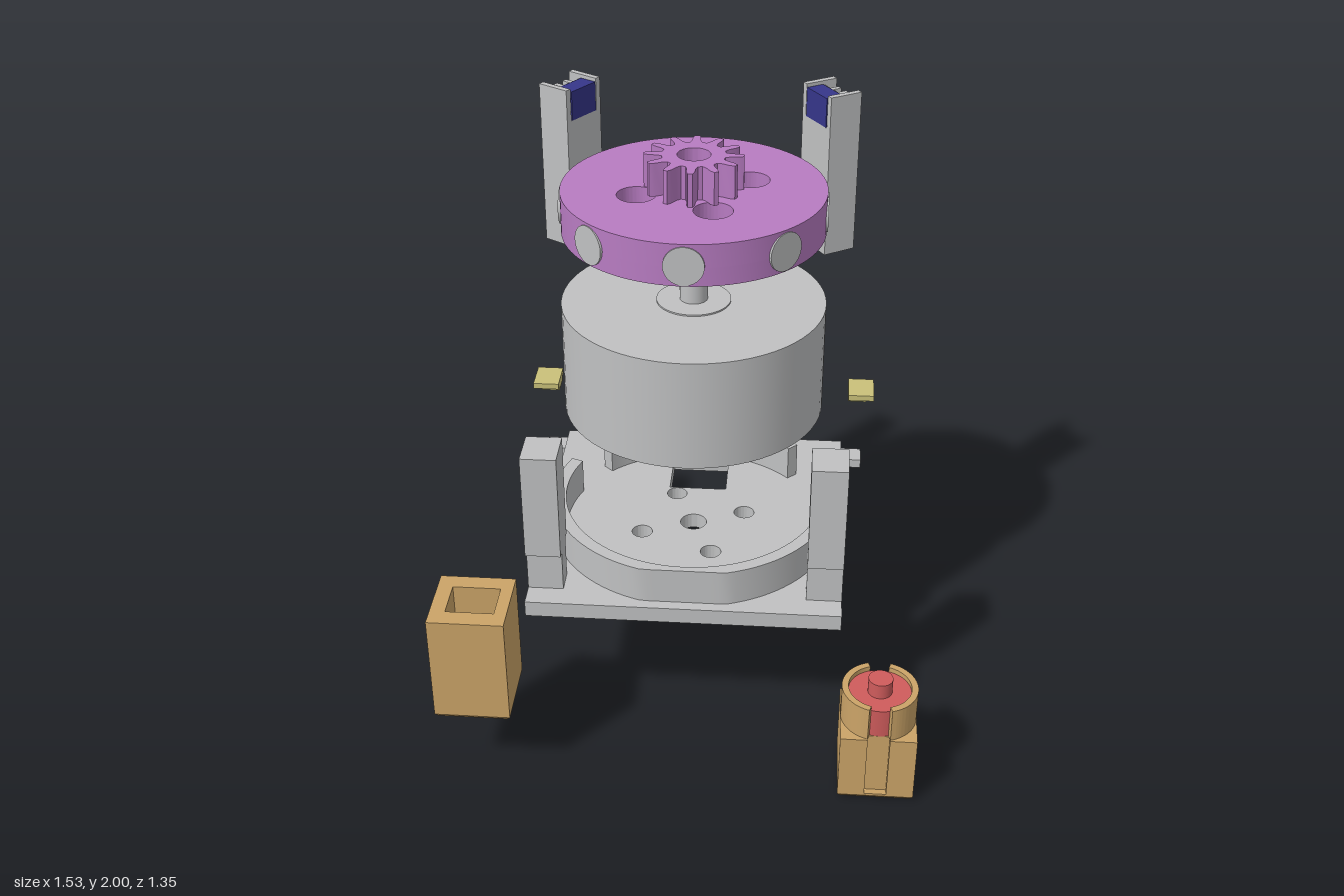
import * as THREE from 'three';
import { toCreasedNormals } from 'three/addons/utils/BufferGeometryUtils.js';

const material = (name, color) => {
  const m = new THREE.MeshStandardMaterial({ color });
  m.name = name;
  return m;
};

export function createModel() {
  const grey = material('grey', 0xc0c1c2);
  const purple = material('purple', 0xb87cc2);
  const navy = material('navy', 0x36368a);
  const orange = material('orange', 0xcba468);
  const red = material('red', 0xcf5c5c);
  const yellow = material('yellow', 0xcac17a);
  const model = new THREE.Group();
  const CZ = -0.11; // z of the rotor axis

  const add = (name, geo, mat, parent = model) => {
    const mesh = new THREE.Mesh(geo, mat);
    mesh.name = name;
    parent.add(mesh);
    return mesh;
  };
  // box given by its limits
  const box = (name, mat, x0, x1, y0, y1, z0, z1, parent) => {
    const mesh = add(name, new THREE.BoxGeometry(Math.abs(x1 - x0), y1 - y0, z1 - z0), mat, parent);
    mesh.position.set((x0 + x1) / 2, (y0 + y1) / 2, (z0 + z1) / 2);
    return mesh;
  };
  // horizontal slab from a plan shape, where shape y = -z
  const slab = (name, mat, shape, y0, y1, parent) => {
    let geo = new THREE.ExtrudeGeometry(shape, { depth: y1 - y0, bevelEnabled: false, curveSegments: 48 });
    geo.rotateX(-Math.PI / 2).translate(0, y0, 0);
    return add(name, toCreasedNormals(geo, 0.5), mat, parent);
  };
  const cylinder = (name, mat, r, y0, y1, x, z, parent) => {
    const mesh = add(name, new THREE.CylinderGeometry(r, r, y1 - y0, 64), mat, parent);
    mesh.position.set(x, (y0 + y1) / 2, z);
    return mesh;
  };
  const poly = (pts) => new THREE.Shape(pts.map(([x, y]) => new THREE.Vector2(x, y)));
  const rect = (x0, x1, y0, y1) => poly([[x0, y0], [x1, y0], [x1, y1], [x0, y1]]);
  const circle = (x, y, r) => new THREE.Shape().absarc(x, y, r, 0, Math.PI * 2);
  const screwHoles = (cy, r) => [0, 1, 2, 3].map((i) => {
    const a = 1.96 + i * Math.PI / 2;
    return circle(0.186 * Math.cos(a), cy + 0.186 * Math.sin(a), r);
  });
  // arc-shaped wall, optionally trimmed by flats in front and behind
  const arcWall = (a0, a1, rIn, rOut, flat, cy) => {
    const pts = [], n = 64;
    for (let i = 0; i <= n; i++) {
      const a = a0 + (a1 - a0) * i / n;
      const r = Math.min(rOut, flat / Math.max(Math.abs(Math.sin(a)), 1e-4));
      pts.push([r * Math.cos(a), cy + r * Math.sin(a)]);
    }
    for (let i = n; i >= 0; i--) {
      const a = a0 + (a1 - a0) * i / n;
      pts.push([rIn * Math.cos(a), cy + rIn * Math.sin(a)]);
    }
    return poly(pts);
  };

  // base plate with screw holes and cable window
  const base = new THREE.Group();
  base.name = 'base';
  model.add(base);
  const plate = rect(-0.513, 0.513, -0.387, 0.677);
  plate.holes.push(circle(0, -CZ, 0.045), ...screwHoles(-CZ, 0.035), rect(-0.1, 0.1, 0.32, 0.52));
  slab('basePlate', grey, plate, 0.455, 0.51, base);

  // motor cup wall, open where the sensors look in
  const gapAngle = 0.57, half = 0.185;
  slab('cupWallBack', grey, arcWall(gapAngle + half, Math.PI - gapAngle - half, 0.437, 0.48, 0.46, -CZ), 0.51, 0.635, base);
  slab('cupWallFront', grey, arcWall(Math.PI - gapAngle + half, Math.PI * 2 + gapAngle - half, 0.437, 0.48, 0.46, -CZ), 0.51, 0.635, base);

  for (const s of [-1, 1]) {
    // front posts, side blocks, hinge tabs and their caps
    box('postFoot', grey, s * 0.397, s * 0.513, 0.51, 0.66, 0.222, 0.307, base);
    box('post', grey, s * 0.397, s * 0.513, 0.655, 1.025, 0.197, 0.332, base);
    box('sideBlock', grey, s * 0.443, s * 0.514, 0.49, 0.635, -0.225, 0.003, base);
    box('sideTab', grey, s * 0.513, s * 0.585, 0.46, 0.493, -0.655, -0.577, base);
    box('tabCap', yellow, s * 0.527, s * 0.619, 0.76, 0.781, -0.677, -0.555);
    box('tabCapPlug', yellow, s * 0.527, s * 0.592, 0.744, 0.761, -0.656, -0.577);

    // sensor holders with grooved outer faces; local +z points away from the axis
    const sensor = new THREE.Group();
    sensor.name = 'sensor';
    sensor.position.set(s * 0.416, 0, -0.383);
    sensor.rotation.y = s * (Math.PI / 2 + gapAngle);
    model.add(sensor);
    box('holderFoot', grey, -0.082, 0.082, 1.465, 1.505, -0.056, 0.056, sensor);
    box('holderFace', grey, -0.07, 0.07, 1.505, 1.895, -0.056, 0.01, sensor);
    box('holderSpine', grey, -0.07, 0.07, 1.895, 1.985, 0.002, 0.012, sensor);
    for (const t of [-1, 1]) {
      box('holderSide', grey, t * 0.062, t * 0.082, 1.505, 2, -0.056, 0.056, sensor);
      box('holderRib', grey, t * 0.013, t * 0.03, 1.505, 1.985, 0.01, 0.042, sensor);
    }
    box('sensorChip', navy, -0.058, 0.058, 1.895, 1.99, -0.057, 0.002, sensor);
  }

  // motor
  cylinder('motorCan', grey, 0.425, 1.005, 1.377, 0, CZ);
  cylinder('motorBoss', grey, 0.12, 1.377, 1.382, 0, CZ);
  cylinder('motorShaft', grey, 0.045, 1.38, 1.66, 0, CZ);

  // rotor disc with counterbored screw holes
  const rotor = new THREE.Group();
  rotor.name = 'rotor';
  rotor.position.z = CZ;
  model.add(rotor);
  for (const [y0, y1, r] of [[1.63, 1.69, 0.033], [1.69, 1.765, 0.061]]) {
    const disc = circle(0, 0, 0.415);
    disc.holes.push(circle(0, 0, 0.047), ...screwHoles(0, r));
    slab('rotorDisc', purple, disc, y0, y1, rotor);
  }
  // magnets around the rim
  for (let i = 0; i < 8; i++) {
    const a = i * Math.PI / 4;
    const magnet = add('magnet', new THREE.CylinderGeometry(0.062, 0.062, 0.07, 40).rotateX(Math.PI / 2), grey, rotor);
    magnet.position.set(0.383 * Math.sin(a), 1.695, 0.383 * Math.cos(a));
    magnet.rotation.y = a;
  }
  // pinion
  const teeth = 12, outline = [];
  for (let i = 0; i < teeth; i++) {
    for (const [f, r] of [[-0.36, 0.1], [-0.23, 0.115], [-0.17, 0.14], [-0.09, 0.155], [0.09, 0.155], [0.17, 0.14], [0.23, 0.115], [0.36, 0.1]]) {
      const a = Math.PI / 2 + (i + f) * Math.PI * 2 / teeth;
      outline.push([r * Math.cos(a), r * Math.sin(a)]);
    }
  }
  const gear = poly(outline);
  gear.holes.push(circle(0, 0, 0.052));
  slab('pinion', purple, gear, 1.765, 1.873, rotor);

  // bevelled bottom: square frustum
  const bevelFoot = (name, x, y, parent) => {
    const k = Math.SQRT1_2;
    const geo = new THREE.CylinderGeometry(0.242 * k, 0.222 * k, 0.014, 4, 1).rotateY(Math.PI / 4).toNonIndexed();
    geo.computeVertexNormals();
    add(name, geo, orange, parent).position.set(x, y + 0.007, 0.548);
  };

  // square cap with socket
  const cap = new THREE.Group();
  cap.name = 'squareCap';
  model.add(cap);
  const sleeve = rect(-0.769, -0.527, -0.669, -0.427);
  sleeve.holes.push(rect(-0.72, -0.567, -0.61, -0.483));
  bevelFoot('capFoot', -0.648, 0.25, cap);
  box('capFloor', orange, -0.769, -0.527, 0.264, 0.34, 0.427, 0.669, cap);
  slab('capSleeve', orange, sleeve, 0.34, 0.632, cap);

  // push button: grooved body, split collar and plunger
  const button = new THREE.Group();
  button.name = 'button';
  model.add(button);
  const bx = 0.641, bz = 0.548, w = 0.121, g = 0.035, d = 0.1;
  bevelFoot('buttonFoot', bx, 0, button);
  box('buttonFloor', orange, bx - w, bx + w, 0.014, 0.022, bz - w, bz + w, button);
  const body = poly([[-w, -w], [-g, -w], [-g, -d], [g, -d], [g, -w], [w, -w],
    [w, w], [g, w], [g, d], [-g, d], [-g, w], [-w, w]].map(([x, y]) => [x + bx, y - bz]));
  slab('buttonBody', orange, body, 0.022, 0.247, button);
  for (const a of [0, Math.PI]) {
    const collar = slab('buttonCollar', orange, arcWall(a - 1.27, a + 1.27, 0.1, 0.121, 1, 0), 0.247, 0.365, button);
    collar.position.set(bx, 0, bz);
  }
  cylinder('plungerDisc', red, 0.1, 0.245, 0.348, bx, bz, button);
  cylinder('plungerKnob', red, 0.039, 0.348, 0.4, bx, bz, button);

  return model;
}
